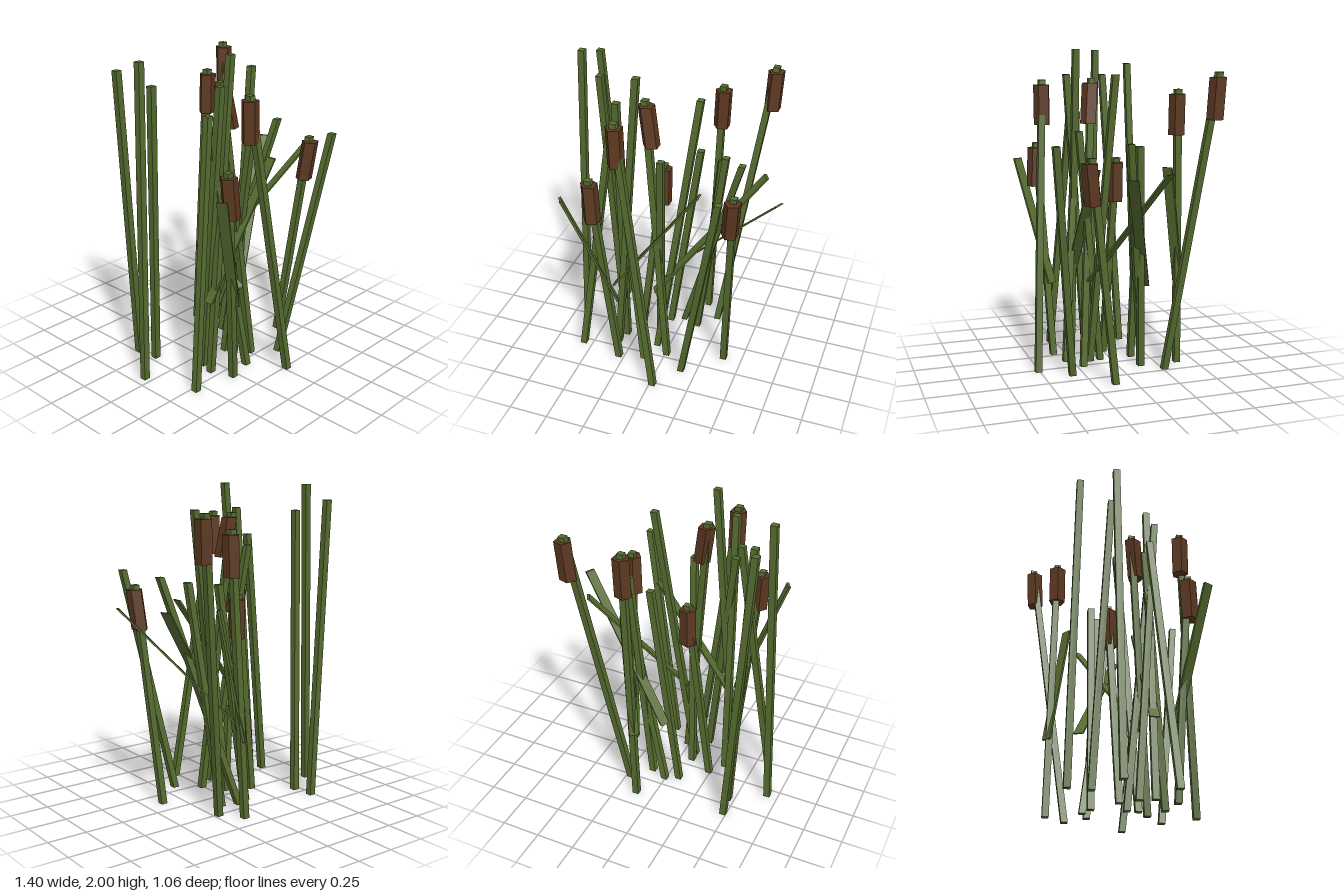
import * as THREE from 'three';

const green = new THREE.MeshStandardMaterial({ color: 0x556b2f });
green.name = 'reedGreen';
const brown = new THREE.MeshStandardMaterial({ color: 0x5c3820 });
brown.name = 'seedHeadBrown';

// Leans an upright unit-high prism from point a to point b, keeping its ends level
function lean(geometry, a, b) {
  const g = geometry.toNonIndexed();
  const p = g.attributes.position;
  for (let i = 0; i < p.count; i++) {
    const t = p.getY(i) + 0.5;
    p.setXYZ(i,
      p.getX(i) + a[0] + (b[0] - a[0]) * t,
      a[1] + (b[1] - a[1]) * t,
      p.getZ(i) + a[2] + (b[2] - a[2]) * t);
  }
  g.computeVertexNormals();
  return g;
}

function part(name, geometry, material) {
  const mesh = new THREE.Mesh(geometry, material);
  mesh.name = name;
  return mesh;
}

const stalk = (name, [x, z, tx, ty, tz]) =>
  part(name, lean(new THREE.BoxGeometry(0.041, 1, 0.041), [x, 0, z], [tx, ty, tz]), green);

// Each row: base x, base z, tip x, tip y, tip z
const plainReeds = [
  [-0.48, -0.325, -0.60, 1.90, -0.295],
  [-0.46, -0.19, -0.52, 1.83, -0.09],
  [-0.68, -0.05, -0.62, 1.99, -0.075],
  [-0.08, 0.14, 0.17, 1.85, 0.05],
  [-0.08, -0.14, 0.12, 1.41, -0.125],
  [0.11, -0.14, 0.30, 1.43, -0.06],
  [0.005, -0.18, 0.43, 1.46, 0.045],
  [0.15, 0.325, 0.42, 1.46, 0.49],
  [-0.085, 0.07, -0.015, 1.50, 0.225],
  [-0.34, 0.19, -0.17, 2.00, 0.195],
  [-0.315, 0.10, -0.285, 1.84, 0.225],
  [-0.56, 0.28, -0.34, 1.67, 0.18],
  [-0.12, 0.29, -0.32, 1.60, 0.15],
];
// Stem as above, then the head's lower x, lower z, upper x, upper z
const headedReeds = [
  { stem: [-0.285, 0.33, -0.405, 1.40, 0.40], head: [-0.387, 0.412, -0.402, 0.40] },
  { stem: [0.02, 0.51, -0.23, 1.81, 0.40], head: [-0.222, 0.40, -0.227, 0.40] },
  { stem: [0.01, 0.21, -0.155, 1.82, 0.10], head: [-0.105, 0.132, -0.145, 0.107] },
  { stem: [-0.24, 0.00, -0.09, 1.32, -0.045], head: [-0.095, -0.04, -0.092, -0.043] },
  { stem: [0.115, -0.385, 0.19, 1.76, -0.345], head: [0.183, -0.345, 0.192, -0.345] },
  { stem: [0.22, -0.26, 0.48, 1.87, -0.485], head: [0.47, -0.468, 0.482, -0.48] },
  { stem: [0.38, 0.12, 0.455, 1.39, 0.29], head: [0.432, 0.272, 0.452, 0.30] },
];
// Bent blades: lower x, lower z, upper x, upper z
const blades = [
  [-0.28, 0.335, -0.55, 0.49],
  [-0.355, 0.19, 0.21, 0.19],
  [-0.08, 0.175, 0.53, -0.165],
  [-0.01, -0.21, 0.68, 0.12],
  [0.12, -0.39, 0.22, -0.27],
];

export function createModel() {
  const model = new THREE.Group();
  model.name = 'reedClump';

  for (const row of plainReeds) model.add(stalk('reed', row));

  // Reeds carrying a five-sided seed head just below the tip
  for (const { stem, head: [x, z, ux, uz] } of headedReeds) {
    const reed = new THREE.Group();
    reed.name = 'headedReed';
    const tip = stem[3];
    const prism = new THREE.CylinderGeometry(0.054, 0.054, 1, 5).rotateY(-Math.PI / 2);
    reed.add(
      stalk('stem', stem),
      part('seedHead', lean(prism, [x, tip - 0.28, z], [ux, tip - 0.03, uz]), brown));
    model.add(reed);
  }

  // Flat blades crossing between the stalks, thin along their lean
  for (const [x, z, ux, uz] of blades) {
    const strip = new THREE.BoxGeometry(0.015, 1, 0.063).rotateY(Math.atan2(z - uz, ux - x));
    model.add(part('blade', lean(strip, [x, 0.49, z], [ux, 1.285, uz]), green));
  }
  return model;
}
